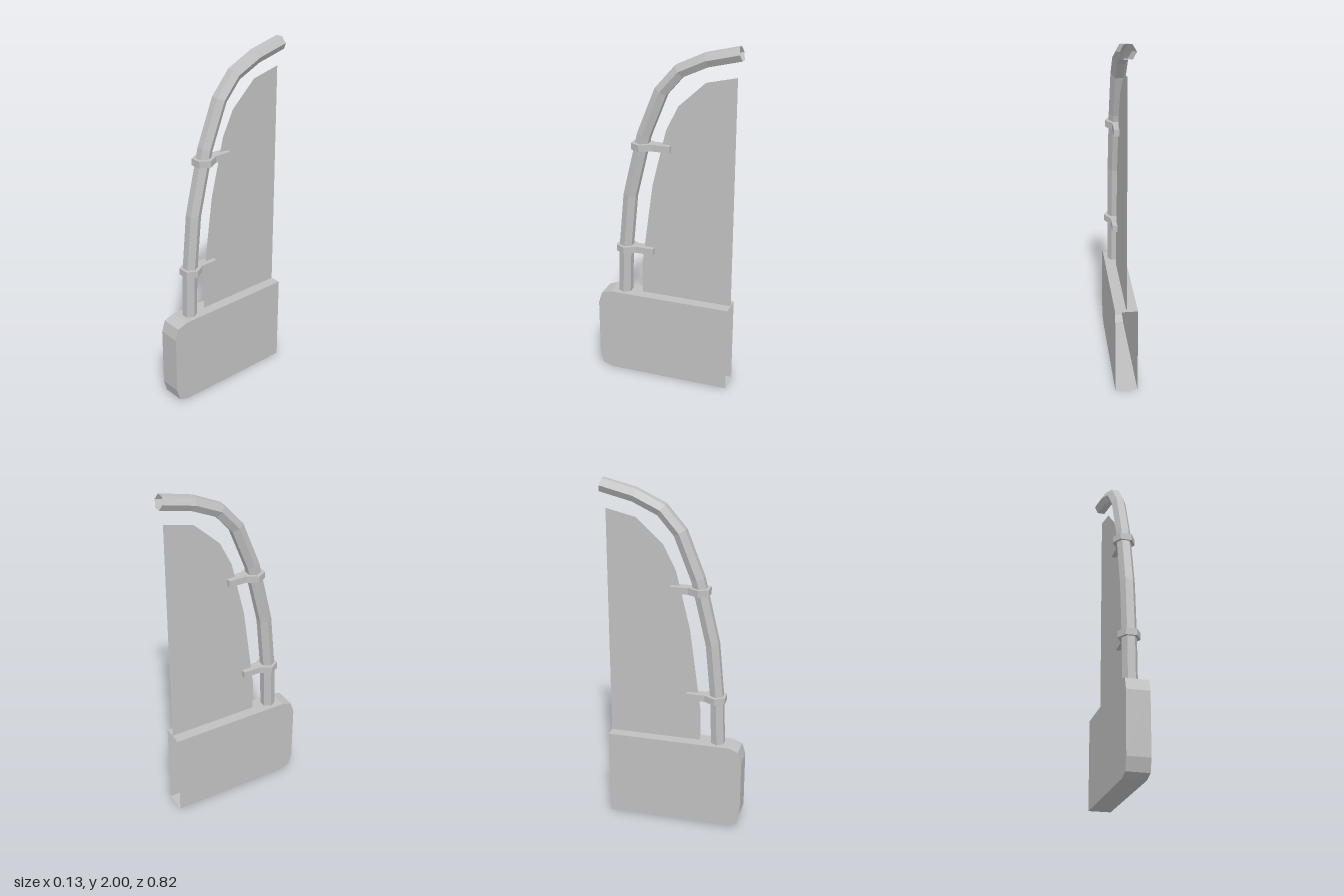
import * as THREE from 'three';

const steel = new THREE.MeshStandardMaterial({ color: 0xc0c0c0, flatShading: true, side: THREE.DoubleSide });
steel.name = 'plain grey';

const BACK = -0.38;
const HALF = 0.063;

const shapeOf = (points) => new THREE.Shape(points.map(([a, b]) => new THREE.Vector2(a, b)));

function part(name, geometry) {
  const mesh = new THREE.Mesh(geometry, steel);
  mesh.name = name;
  return mesh;
}

// Base housing: side profile in (z, y), extruded across x, with its back wall left open
function housing() {
  const shape = shapeOf([
    [BACK, 0], [0.33, 0], [0.39, 0.02], [0.41, 0.09],
    [0.41, 0.43], [0.39, 0.495], [0.33, 0.515], [BACK, 0.515],
  ]);
  const solid = new THREE.ExtrudeGeometry(shape, { depth: 2 * HALF, bevelEnabled: false });
  solid.translate(0, 0, -HALF).rotateY(-Math.PI / 2);
  const p = solid.attributes.position;
  const kept = [];
  for (let i = 0; i < p.count; i += 3) {
    const corners = [i, i + 1, i + 2];
    if (corners.every((k) => Math.abs(p.getZ(k) - BACK) < 1e-4)) continue;
    corners.forEach((k) => kept.push(p.getX(k), p.getY(k), p.getZ(k)));
  }
  const open = new THREE.BufferGeometry();
  open.setAttribute('position', new THREE.Float32BufferAttribute(kept, 3));
  open.computeVertexNormals();
  return part('housing', open);
}

// Thin upright fin on the centre plane
function fin() {
  const shape = shapeOf([
    [BACK, 0.515], [0.155, 0.515], [0.155, 0.7], [0.09, 1.19],
    [0.01, 1.52], [-0.06, 1.66], [-0.21, 1.8], [BACK, 1.84],
  ]);
  return part('fin', new THREE.ShapeGeometry(shape).rotateY(-Math.PI / 2));
}

// Open six-sided pipe bent along a path in (z, y), listed from the top down
function pipe() {
  const path = [
    [-0.398, 1.967], [-0.215, 1.922], [-0.066, 1.852], [0.035, 1.735],
    [0.134, 1.485], [0.22, 1.12], [0.251, 0.79], [0.26, 0.515],
  ];
  const last = path.length - 1;
  const geo = new THREE.CylinderGeometry(0.042, 0.042, 1, 6, last, true, Math.PI / 2);
  const p = geo.attributes.position;
  for (let i = 0; i < p.count; i++) {
    const row = Math.round((0.5 - p.getY(i)) * last);
    const [z, y] = path[row];
    const above = path[Math.max(row - 1, 0)];
    const below = path[Math.min(row + 1, last)];
    const t = row === last
      ? new THREE.Vector2(0, 1)
      : new THREE.Vector2(above[0] - below[0], above[1] - below[1]).normalize();
    const offset = p.getZ(i);
    p.setXYZ(i, p.getX(i), y - t.x * offset, z + t.y * offset);
  }
  geo.computeVertexNormals();
  return part('pipe', geo);
}

// Clamp: hexagonal collar with a tail reaching back to the fin
function clamp(name, top, z) {
  const shape = shapeOf([
    [-0.032, 0.055], [-HALF, 0], [-0.028, -0.062], [-0.028, -0.165],
    [0.028, -0.165], [0.028, -0.062], [HALF, 0], [0.032, 0.055],
  ]);
  const geo = new THREE.ExtrudeGeometry(shape, { depth: 0.038, bevelEnabled: false });
  geo.rotateX(Math.PI / 2).translate(0, top, z);
  return part(name, geo);
}

export function createModel() {
  const model = new THREE.Group();
  model.name = 'finnedPipe';
  model.add(
    housing(),
    fin(),
    pipe(),
    clamp('lowerClamp', 0.812, 0.245),
    clamp('upperClamp', 1.438, 0.146),
  );
  return model;
}
